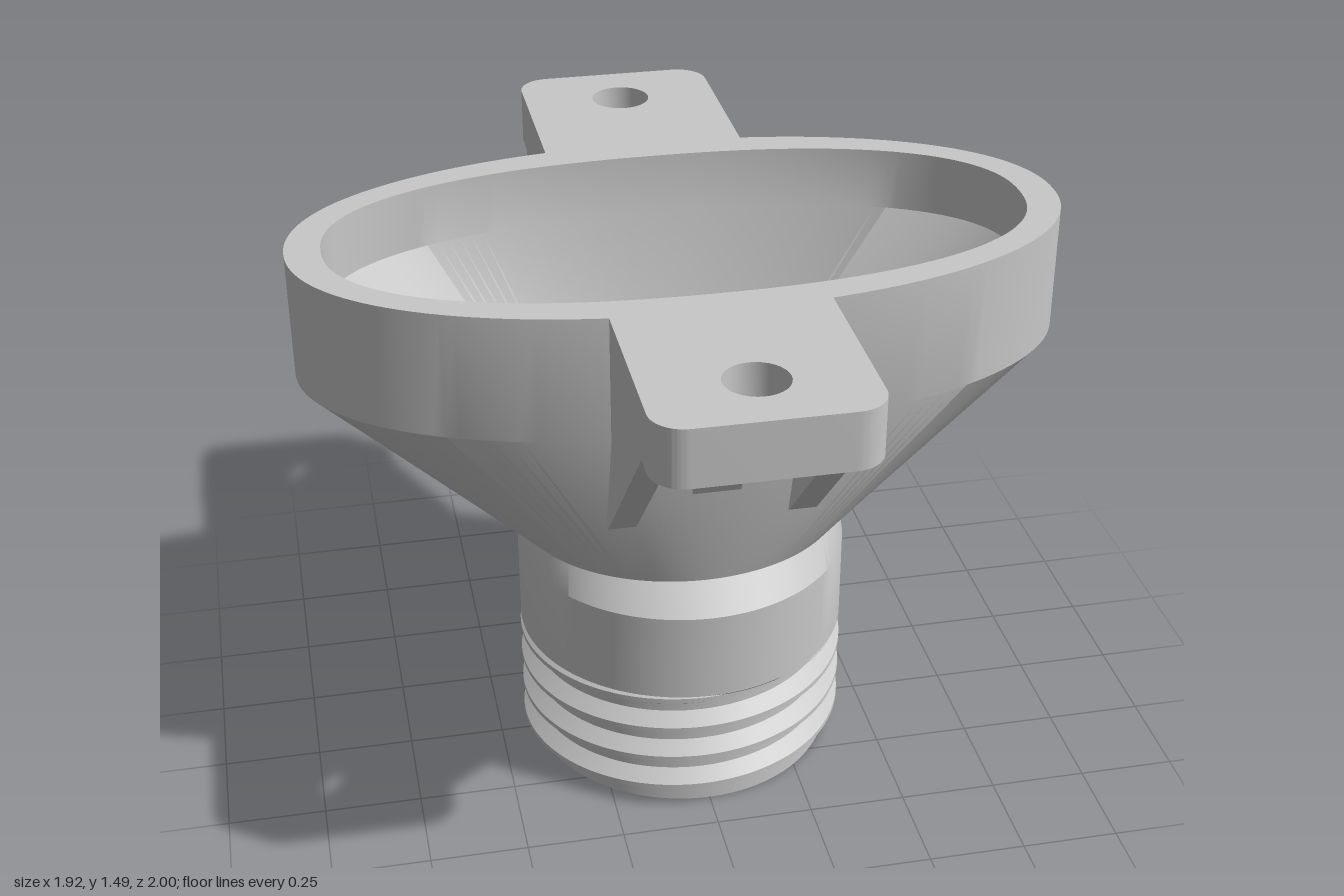
import * as THREE from 'three';
import { toCreasedNormals } from 'three/addons/utils/BufferGeometryUtils.js';
import { ConvexGeometry } from 'three/addons/geometries/ConvexGeometry.js';

const SEG = 144;

// Grid surface: point(row, turn) gives [x, y, z]; rows run upward on the outside
function gridSurface(rows, point) {
  const pos = [], idx = [], w = SEG + 1;
  for (let i = 0; i < rows; i++)
    for (let j = 0; j <= SEG; j++) pos.push(...point(i, j / SEG));
  for (let i = 0; i < rows - 1; i++)
    for (let j = 0; j < SEG; j++) {
      const a = i * w + j, c = a + w;
      idx.push(a, c, a + 1, a + 1, c, c + 1);
    }
  const g = new THREE.BufferGeometry();
  g.setAttribute('position', new THREE.Float32BufferAttribute(pos, 3));
  g.setIndex(idx);
  return toCreasedNormals(g, 0.45);
}

// Oval bowl on a round collar, with hollow interior, side slot and centre bore
function bodyGeometry() {
  // y, x radius, z radius, oval exponent, slotted
  const rows = [
    [0.36, 0.4, 0.4, 2, 0], [0.36, 0.43, 0.43, 2, 0], [0.6, 0.43, 0.43, 2, 0],
    [0.67, 0.42, 0.36, 2, 0], [1.17, 0.96, 0.494, 2.12, 0], [1.49, 0.96, 0.494, 2.12, 0],
    [1.49, 0.872, 0.405, 2.3, 0], [1.33, 0.872, 0.405, 2.3, 0],
    [0.863, 0.443, 0.264, 2, 1], [0.828, 0.41, 0.253, 2, 1], [0.67, 0.265, 0.205, 2, 1],
    [0.67, 0.083, 0.083, 2, 0], [0, 0.083, 0.083, 2, 0], [0, 0.395, 0.395, 2, 0],
  ];
  const k = 1 / 12; // share of each half turn given to the slot
  return gridSurface(rows.length, (i, t) => {
    const [y, a, b, n, slot] = rows[i];
    const u = Math.abs(t - 0.5);
    // line the columns up with the straight slot sides
    const phi = slot ? Math.asin(0.1 / b) : k * Math.PI * 2;
    const d = u < k ? phi * u / k : phi + (Math.PI - phi) * (u - k) / (0.5 - k);
    const angle = Math.PI + Math.sign(t - 0.5) * d;
    const c = Math.cos(angle), s = Math.sin(angle);
    let x = a * Math.sign(c) * Math.abs(c) ** (2 / n);
    const z = b * Math.sign(s) * Math.abs(s) ** (2 / n);
    if (slot && u < k - 0.001) x = Math.min(x, -0.41);
    return [x, y, z];
  });
}

// Helical thread whose rows follow the pitch and are cut flat at both ends
function threadGeometry() {
  const pitch = 0.093, root = 0.395, depth = 0.037, top = 0.36;
  const steps = [0, 0.12, 0.43, 0.57, 0.88];
  return gridSurface(steps.length * 8, (i, t) => {
    const turn = Math.floor(i / steps.length) - 2 + steps[i % steps.length];
    const y = THREE.MathUtils.clamp(0.05 + pitch * (turn - t), 0, top);
    const phase = (y - 0.05) / pitch + t;
    const off = Math.abs(phase - Math.floor(phase) - 0.5);
    const rise = THREE.MathUtils.clamp((0.38 - off) / 0.31, 0, 1);
    const r = Math.min(root + depth * rise, root + y);
    const a = t * Math.PI * 2;
    return [r * Math.cos(a), y, r * Math.sin(a)];
  });
}

// Mounting tab with rounded outer corners and a screw hole
function tabGeometry() {
  const w = 0.26, end = 1, r = 0.08, s = new THREE.Shape();
  s.moveTo(-w, -0.45);
  s.lineTo(-w, -end + r);
  s.absarc(-w + r, -end + r, r, Math.PI, Math.PI * 1.5, false);
  s.absarc(w - r, -end + r, r, Math.PI * 1.5, Math.PI * 2, false);
  s.lineTo(w, -0.45);
  const hole = new THREE.Path();
  hole.absarc(0, -0.82, 0.077, 0, Math.PI * 2, true);
  s.holes.push(hole);
  const g = new THREE.ExtrudeGeometry(s, { depth: 0.145, bevelEnabled: false, curveSegments: 16 });
  g.rotateX(-Math.PI / 2).translate(0, 1.345, 0);
  return toCreasedNormals(g, 0.5);
}

// Rib cut from a (z, y) outline and centred on x
function ribGeometry(points, x, width) {
  const s = new THREE.Shape(points.map(([z, y]) => new THREE.Vector2(-z, y)));
  const g = new THREE.ExtrudeGeometry(s, { depth: width, bevelEnabled: false });
  return g.translate(0, 0, -width / 2).rotateY(Math.PI / 2).translate(x, 0, 0);
}

export function createModel() {
  const model = new THREE.Group();
  const grey = new THREE.MeshStandardMaterial({ color: 0xc8c8c8 });
  grey.name = 'plain grey';
  const add = (parent, name, geometry) => {
    const m = new THREE.Mesh(geometry, grey);
    m.name = name;
    parent.add(m);
  };

  add(model, 'bowlBody', bodyGeometry());
  add(model, 'screwThread', threadGeometry());

  // Front and back mounting brackets
  const sideRib = [[0.39, 0.88], [0.405, 0.88], [0.865, 1.347], [0.44, 1.347]];
  const middleRib = [[0.42, 0.98], [0.445, 0.98], [0.64, 1.347], [0.44, 1.347]];
  for (const [name, turn] of [['frontBracket', 0], ['backBracket', Math.PI]]) {
    const bracket = new THREE.Group();
    bracket.name = name;
    bracket.rotation.y = turn;
    add(bracket, 'mountingTab', tabGeometry());
    for (const side of [-1, 1])
      add(bracket, 'sideRib', ribGeometry(sideRib, side * 0.225, 0.07));
    add(bracket, 'middleRib', ribGeometry(middleRib, 0, 0.12));
    model.add(bracket);
  }

  // Small pointed gusset between collar and bowl
  const corners = [[0.42, 0.6, 0], [0.493, 0.735, 0], [0.41, 0.67, 0.028], [0.41, 0.67, -0.028], [0.4, 0.7, 0]];
  add(model, 'collarGusset', new ConvexGeometry(corners.map((p) => new THREE.Vector3(...p))));
  return model;
}
